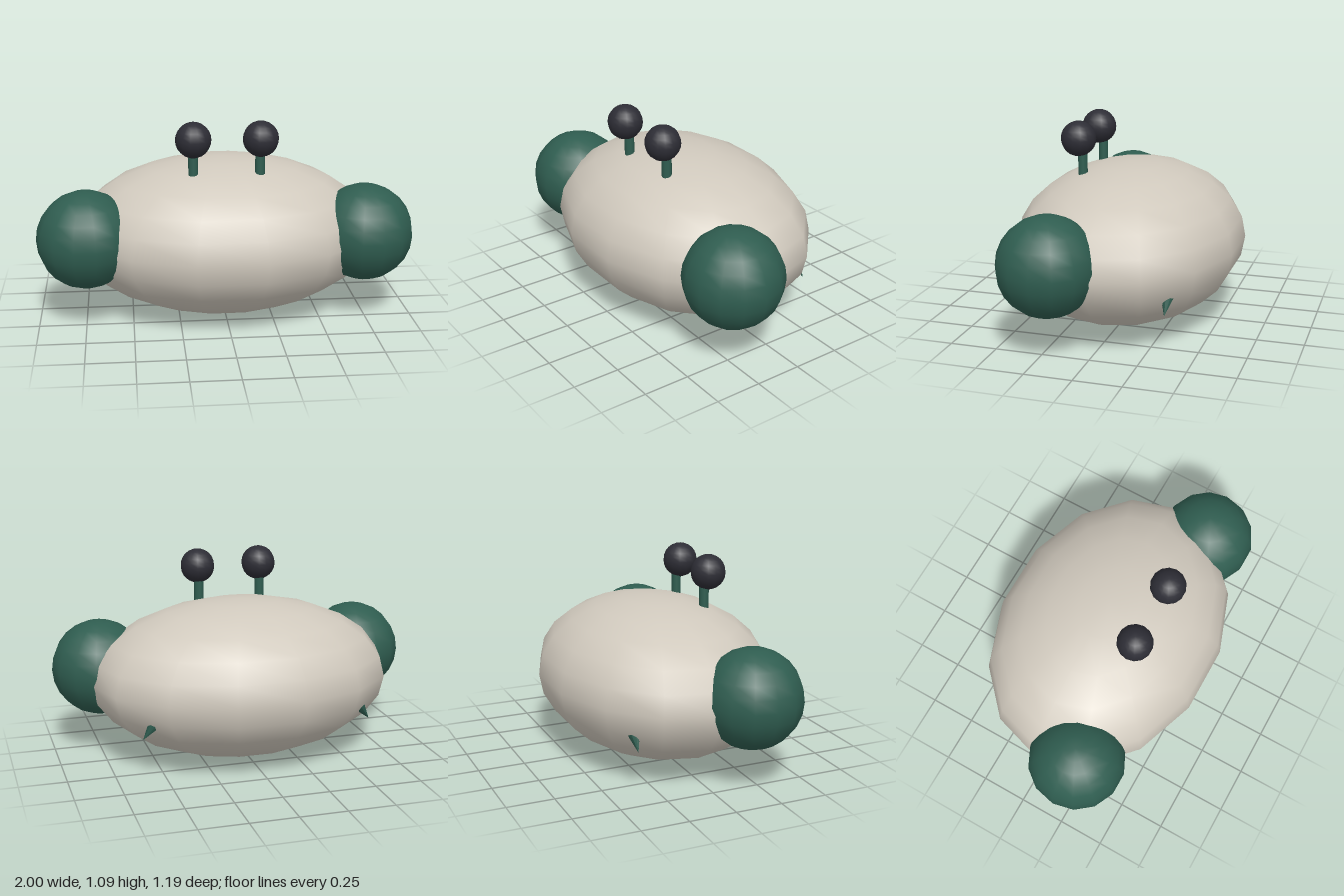
import * as THREE from 'three';

export function createModel() {
  const model = new THREE.Group();
  model.name = 'model';

  const material = (name, color) => {
    const m = new THREE.MeshStandardMaterial({ color });
    m.name = name;
    return m;
  };
  const shell = material('warm grey', 0xd0c9bd);
  const green = material('dark green', 0x2f5d50);
  const dark = material('near black', 0x2d2d35);

  const add = (name, geometry, mat, x, y, z) => {
    const mesh = new THREE.Mesh(geometry, mat);
    mesh.name = name;
    mesh.position.set(x, y, z);
    model.add(mesh);
    return mesh;
  };

  // Flattened oval body
  const ball = new THREE.SphereGeometry(1, 14, 12);
  add('body', ball, shell, 0, 0.427, 0).scale.set(0.82, 0.426, 0.61);

  const stalk = new THREE.CylinderGeometry(0.026, 0.026, 0.25, 10);
  const spike = new THREE.ConeGeometry(0.06, 0.18, 8);
  const down = new THREE.Vector3();
  const up = new THREE.Vector3(0, 1, 0);

  for (const [side, s] of [['left', 1], ['right', -1]]) {
    // Large side spheres
    add(side + 'SideSphere', ball, green, s * 0.74, 0.47, 0.216).scale.setScalar(0.26);

    // Eye on a short stalk
    add(side + 'EyeStalk', stalk, green, s * 0.175, 0.86, 0.22);
    add(side + 'Eye', ball, dark, s * 0.175, 0.995, 0.243).scale.setScalar(0.094);

    // Rear spike, mostly sunk in the body, pointing down and out
    down.set(s * 0.6, -0.8, 0).normalize();
    const tip = new THREE.Vector3(s * 0.62, 0.225, -0.35).addScaledVector(down, -0.09);
    add(side + 'RearSpike', spike, green, tip.x, tip.y, tip.z)
      .quaternion.setFromUnitVectors(up, down);
  }

  return model;
}
